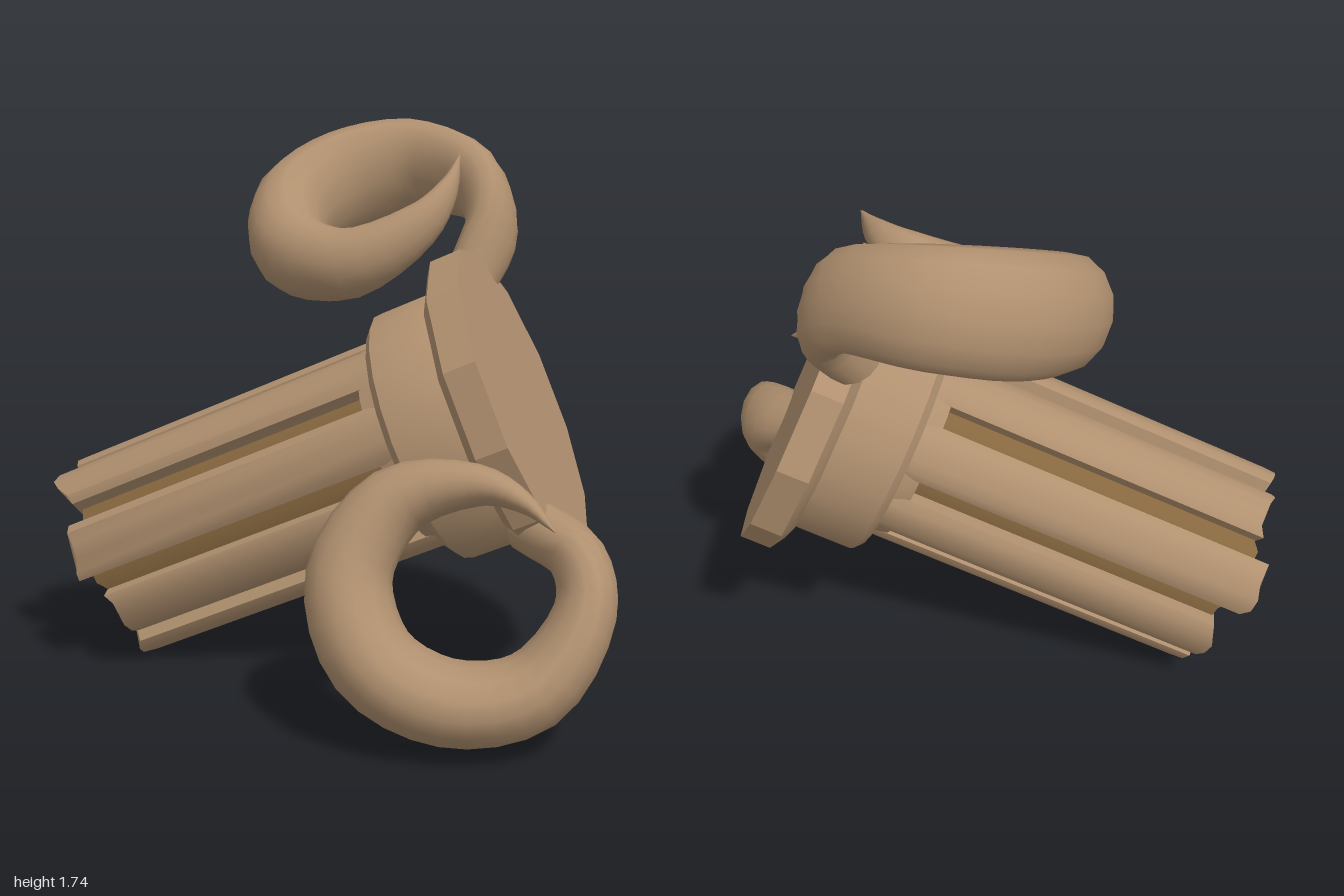
import * as THREE from 'three';
import { toCreasedNormals } from 'three/addons/utils/BufferGeometryUtils.js';

const stone = new THREE.MeshStandardMaterial({ color: 0xb0906f });
const hornMat = new THREE.MeshStandardMaterial({ color: 0xb0906f, side: THREE.DoubleSide });
const dark = new THREE.MeshStandardMaterial({ color: 0x86673f });
const v = (x, y, z) => new THREE.Vector3(x, y, z);

function add(parent, name, geometry, material) {
  const mesh = new THREE.Mesh(geometry, material);
  mesh.name = name;
  parent.add(mesh);
  return mesh;
}

// Turned part with sharp edges kept
function turned(points, sides, crease) {
  const profile = points.map(([x, y]) => new THREE.Vector2(x, y));
  return toCreasedNormals(new THREE.LatheGeometry(profile, sides, Math.PI / 12), crease);
}

// Curled horn: an oval section swept along one turn of a tapering coil.
function hornGeometry(side) {
  const centre = v(0.70, -0.263, 0.221);
  const U = v(0.319, 0.848, -0.422), V = v(-0.819, 0.47, 0.325), N = v(0.475, 0.244, 0.844);
  // angle, coil radius, offset along the coil axis, half width, half depth
  const rows = [
    [53, 0.275, -0.25, 0.085, 0.09],
    [25, 0.345, -0.13, 0.085, 0.12],
    [0, 0.35, -0.035, 0.09, 0.145],
    [-45, 0.33, 0.01, 0.115, 0.17],
    [-90, 0.305, 0.02, 0.125, 0.18],
    [-135, 0.315, 0.015, 0.13, 0.17],
    [-180, 0.325, -0.015, 0.125, 0.14],
    [-225, 0.32, -0.02, 0.105, 0.115],
    [-270, 0.31, 0.05, 0.06, 0.075],
    [-295, 0.31, 0.115, 0.03, 0.04],
    [-316, 0.31, 0.18, 0.002, 0.002],
  ];
  const path = new THREE.CatmullRomCurve3(rows.map(([deg, r, h]) => {
    const a = THREE.MathUtils.degToRad(deg);
    return centre.clone().addScaledVector(U, r * Math.cos(a))
      .addScaledVector(V, r * Math.sin(a)).addScaledVector(N, h);
  }));
  const size = new THREE.CatmullRomCurve3(rows.map((r) => v(r[3], r[4], 0)));
  const steps = 40, sides = 14, pos = [], index = [];
  for (let i = 0; i <= steps; i++) {
    const t = i / steps, p = path.getPoint(t), s = size.getPoint(t), tan = path.getTangent(t);
    const depth = N.clone().addScaledVector(tan, -N.dot(tan)).normalize();
    const width = depth.clone().cross(tan);
    for (let j = 0; j < sides; j++) {
      const a = (j / sides) * Math.PI * 2;
      const q = p.clone().addScaledVector(width, s.x * Math.cos(a)).addScaledVector(depth, s.y * Math.sin(a));
      pos.push(q.x * side, q.y, q.z);
    }
  }
  for (let i = 0; i < steps; i++) {
    for (let j = 0; j < sides; j++) {
      const a = i * sides + j, b = i * sides + (j + 1) % sides, c = a + sides, d = b + sides;
      // the mirrored horn needs the opposite winding
      if (side > 0) index.push(a, b, c, b, d, c);
      else index.push(a, c, b, b, c, d);
    }
  }
  const g = new THREE.BufferGeometry();
  g.setAttribute('position', new THREE.Float32BufferAttribute(pos, 3));
  g.setIndex(index);
  g.computeVertexNormals();
  return g;
}

// Slanted, rough break at the column's lower end
function breakEnd(g) {
  const p = g.attributes.position;
  for (let i = 0; i < p.count; i++) {
    if (p.getY(i) > -1) continue;
    const x = p.getX(i), z = p.getZ(i), a = Math.atan2(z, x);
    p.setY(i, p.getY(i) + 0.1 * x + Math.hypot(x, z) * (0.06 * Math.sin(5 * a) + 0.05 * Math.cos(11 * a)));
  }
}

export function createModel() {
  const model = new THREE.Group();
  model.name = 'hornedColumn';

  // Everything is built upright, top face at y = 0, then laid over.
  const body = new THREE.Group();
  body.name = 'column';
  model.add(body);

  // Capital: twelve-sided slab, round collar and neck
  add(body, 'topSlab', turned([[0, -0.13], [0.46, -0.13], [0.505, -0.10], [0.505, 0], [0, 0]], 12, 0.3), stone);
  add(body, 'collar', turned([[0, -0.42], [0.325, -0.42], [0.335, -0.36], [0.385, -0.36],
    [0.412, -0.335], [0.412, -0.14], [0.40, -0.12], [0, -0.12]], 24, 0.6), stone);

  // Dark core showing in the grooves
  const core = new THREE.CylinderGeometry(0.28, 0.28, 1.07, 32);
  core.translate(0, -0.925, 0);
  breakEnd(core);
  add(body, 'core', toCreasedNormals(core, 0.5), dark);

  // Eight broad rounded ridges with grooves between them
  const half = [[0.05, 0.18], [0.078, 0.275], [0.09, 0.312], [0.065, 0.334], [0.025, 0.344]];
  const outline = [...half, ...half.map(([x, y]) => [-x, y]).reverse()];
  const ridgeShape = new THREE.Shape(outline.map(([x, y]) => new THREE.Vector2(x, y)));
  for (let k = 0; k < 8; k++) {
    const length = 1.125 + 0.012 * Math.sin(k * 2.3);
    const g = new THREE.ExtrudeGeometry(ridgeShape, { depth: length, bevelEnabled: false });
    g.rotateX(-Math.PI / 2);
    g.translate(0, -0.35 - length, 0);
    g.rotateY(((k + 0.5) * Math.PI) / 4);
    breakEnd(g);
    add(body, 'ridge', toCreasedNormals(g, 0.9), stone);
  }

  // Pair of horns
  for (const side of [1, -1]) {
    add(body, side > 0 ? 'lowerHorn' : 'upperHorn', hornGeometry(side), hornMat).position.x = -0.03;
  }

  // Lay the column over on its side
  const up = v(0.86, 0.40, -0.318).normalize();
  const across = up.clone().cross(v(0.04, 0.57, 0.82)).normalize();
  const front = across.clone().cross(up);
  body.quaternion.setFromRotationMatrix(new THREE.Matrix4().makeBasis(across, up, front));
  body.position.set(0.48, 0.875, -0.22);
  return model;
}
